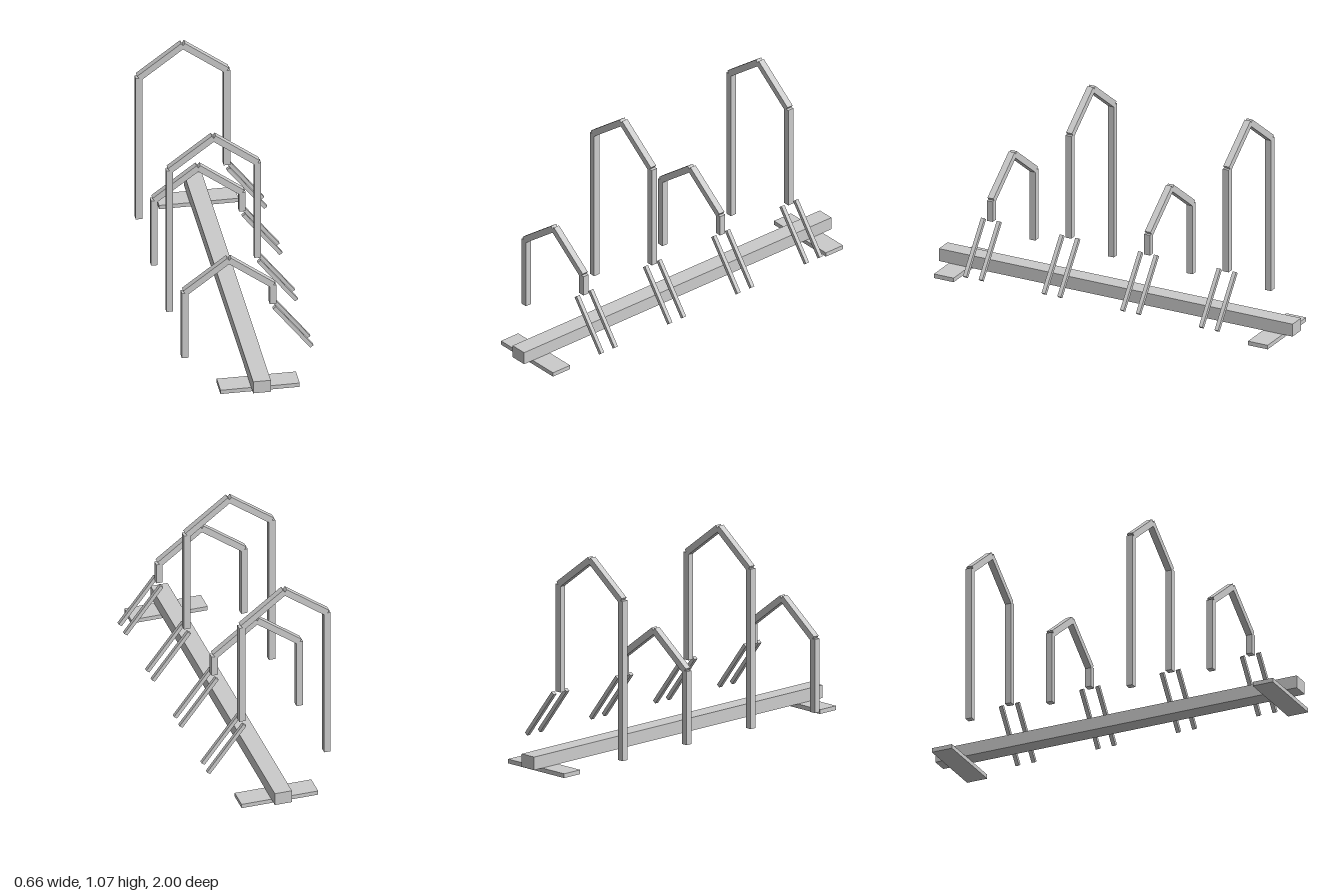
import * as THREE from 'three';

const material = new THREE.MeshStandardMaterial({ color: 0xcccccc, flatShading: true });

function box(name, w, h, d, x, y, z) {
  const mesh = new THREE.Mesh(new THREE.BoxGeometry(w, h, d), material);
  mesh.name = name;
  mesh.position.set(x, y, z);
  return mesh;
}

// Square bar running between two points in a plane of constant z
function bar(name, [x1, y1], [x2, y2], thick, z = 0) {
  const mesh = box(name, thick, Math.hypot(x2 - x1, y2 - y1), thick, (x1 + x2) / 2, (y1 + y2) / 2, z);
  mesh.rotation.z = Math.atan2(y2 - y1, x2 - x1) - Math.PI / 2;
  return mesh;
}

const RIGHT = -0.314, LEFT = 0.13, APEX = -0.092;

// Peaked hoop: two posts, two rafters and a pair of thin struts to the beam side
function createHoop(name, eaves, z) {
  const hoop = new THREE.Group();
  hoop.name = name;
  hoop.position.z = z;
  const t = 0.0333, peak = [APEX, eaves + 0.167];
  hoop.add(
    bar('longPost', [RIGHT, 0.067], [RIGHT, eaves], t),
    bar('shortPost', [LEFT, 0.336], [LEFT, eaves], t),
    bar('rightRafter', [RIGHT, eaves], peak, t),
    bar('leftRafter', [LEFT, eaves], peak, t)
  );
  for (const s of [-1, 1]) hoop.add(bar('strut', [LEFT, 0.336], [0.319, 0.09], 0.02, s * 0.0445));
  return hoop;
}

export function createModel() {
  const model = new THREE.Group();
  model.name = 'hoopRack';

  // Base beam on two cross feet
  model.add(box('beam', 0.089, 0.067, 2, 0.019, 0.0555, 0));
  for (const s of [-1, 1]) model.add(box('foot', 0.4, 0.022, 0.111, 0.019, 0.011, s * 0.888));

  // Alternating low and tall hoops
  for (let i = 0; i < 4; i++) {
    const tall = i % 2 === 1;
    model.add(createHoop(tall ? 'tallHoop' : 'lowHoop', tall ? 0.889 : 0.445, 0.667 - i * 0.4445));
  }
  return model;
}
